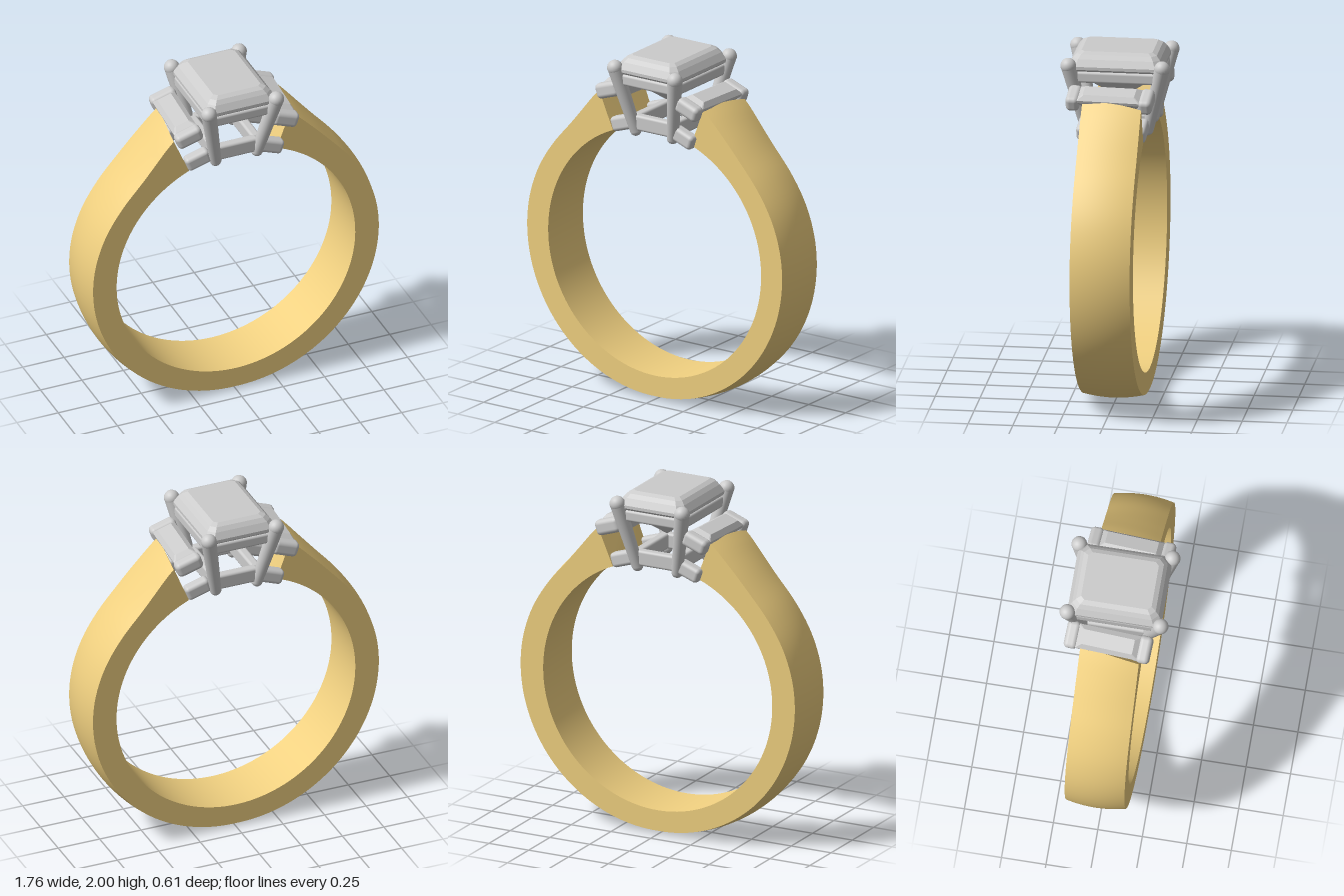
import * as THREE from 'three';
import { toCreasedNormals } from 'three/addons/utils/BufferGeometryUtils.js';
import { RoundedBoxGeometry } from 'three/addons/geometries/RoundedBoxGeometry.js';

const gold = new THREE.MeshStandardMaterial({ color: 0xf0d080 });
const silver = new THREE.MeshStandardMaterial({ color: 0xcccccc });
const gem = new THREE.MeshStandardMaterial({ color: 0xcccccc, flatShading: true });

function add(parent, name, geometry, material, x = 0, y = 0, z = 0) {
  const mesh = new THREE.Mesh(geometry, material);
  mesh.name = name;
  mesh.position.set(x, y, z);
  parent.add(mesh);
  return mesh;
}

// Skin a run of closed convex cross-sections and cap both ends
function loft(rings) {
  const n = rings[0].length, index = [];
  for (let i = 0; i < rings.length - 1; i++) {
    for (let j = 0; j < n; j++) {
      const a = i * n + j, b = i * n + (j + 1) % n;
      index.push(a, b, b + n, a, b + n, a + n);
    }
  }
  const last = (rings.length - 1) * n;
  for (let j = 1; j < n - 1; j++) {
    index.push(0, j + 1, j, last, last + j, last + j + 1);
  }
  const geometry = new THREE.BufferGeometry();
  geometry.setAttribute('position', new THREE.Float32BufferAttribute(rings.flat(2), 3));
  geometry.setIndex(index);
  geometry.computeVertexNormals();
  return geometry;
}

// Step-cut stone: each step is [y, half width, half depth, corner cut], bottom up
function stepCut(steps) {
  return loft(steps.map(([y, w, d, c]) => [
    [w, y, d - c], [w, y, c - d], [w - c, y, -d], [c - w, y, -d],
    [-w, y, c - d], [-w, y, d - c], [c - w, y, d], [w - c, y, d],
  ]));
}

// Domed band whose shoulders rise to meet the setting
function bandGeometry() {
  const half = 0.168, inner = 0.72, centreY = 0.86, steps = 128;
  // [degrees above horizontal, outer radius]
  const profile = new THREE.SplineCurve([
    [-90, 0.86], [-45, 0.872], [0, 0.882], [20, 0.88], [36, 0.874],
    [48, 0.88], [58.5, 0.915], [68.4, 0.975],
  ].map(([a, r]) => new THREE.Vector2(a, r))).getPoints(160);
  const outer = (elevation) => {
    const k = Math.max(1, profile.findIndex((p) => p.x >= elevation - 1e-6));
    const p = profile[k - 1], q = profile[k];
    return p.y + (q.y - p.y) * (elevation - p.x) / (q.x - p.x);
  };
  const rings = [];
  for (let i = 0; i <= steps; i++) {
    const degrees = 111.6 + 316.8 * i / steps;
    const rise = THREE.MathUtils.radToDeg(Math.asin(Math.sin(THREE.MathUtils.degToRad(degrees))));
    const r = outer(Math.min(rise, 68.4));
    const skew = 0.16 * THREE.MathUtils.smoothstep(rise, 45, 68);
    const section = [[inner, -half], [inner, half]];
    for (let k = 0; k <= 10; k++) {
      const t = 1 - k / 5;
      section.push([r - 0.02 * t * t, half * t]);
    }
    rings.push(section.map(([radius, z]) => {
      const a = THREE.MathUtils.degToRad(degrees) + skew * z;
      return [radius * Math.cos(a), centreY + radius * Math.sin(a), z];
    }));
  }
  return toCreasedNormals(loft(rings), 0.6);
}

// Rectangular gallery of four rounded rails
function gallery(parent, name, y, hx, hz, height, thick) {
  const group = new THREE.Group();
  group.name = name;
  parent.add(group);
  for (const s of [-1, 1]) {
    add(group, 'crossRail', new RoundedBoxGeometry(2 * hx, height, thick, 3, 0.015), silver, 0, y, s * hz);
    add(group, 'sideRail', new RoundedBoxGeometry(thick, height, 2 * hz, 3, 0.015), silver, s * hx, y, 0);
  }
}

// Round-tipped claw, slimmer at its foot
function prong(parent, foot, tip) {
  const length = foot.distanceTo(tip);
  const group = new THREE.Group();
  group.name = 'prong';
  group.position.copy(foot);
  group.quaternion.setFromUnitVectors(new THREE.Vector3(0, 1, 0), tip.clone().sub(foot).normalize());
  add(group, 'prongShaft', new THREE.CylinderGeometry(0.043, 0.033, length, 20), silver, 0, length / 2, 0);
  add(group, 'prongTip', new THREE.SphereGeometry(0.044, 20, 14), silver, 0, length, 0);
  add(group, 'prongFoot', new THREE.SphereGeometry(0.033, 20, 12), silver);
  parent.add(group);
}

// Tilted side stone held between rounded bars, with shorter bars beneath
function sideSetting() {
  const side = new THREE.Group();
  side.name = 'sideSetting';
  side.rotation.y = -0.06;
  const upper = new THREE.Group();
  upper.name = 'sideStoneMount';
  upper.position.set(0.283, 1.765, 0);
  upper.rotation.z = -0.33;
  side.add(upper);
  add(upper, 'sideStone', stepCut([
    [-0.07, 0.006, 0.09, 0.002], [-0.02, 0.045, 0.155, 0.004], [0.015, 0.068, 0.18, 0.006],
    [0.03, 0.068, 0.18, 0.006], [0.055, 0.042, 0.145, 0.004],
  ]), gem);
  for (const s of [-1, 1]) {
    add(upper, 'upperBar', new RoundedBoxGeometry(0.155, 0.088, 0.075, 4, 0.026), silver, 0, 0, s * 0.205);
    const lower = add(side, 'lowerBar', new RoundedBoxGeometry(0.145, 0.085, 0.07, 4, 0.022), silver, 0.215, 1.575, s * 0.16);
    lower.rotation.z = -0.33;
  }
  return side;
}

export function createModel() {
  const ring = new THREE.Group();
  ring.name = 'ring';
  add(ring, 'band', bandGeometry(), gold);

  // Centre stone, culet to table
  add(ring, 'centreStone', stepCut([
    [1.73, 0.004, 0.06, 0.001], [1.79, 0.072, 0.135, 0.012], [1.85, 0.14, 0.2, 0.025],
    [1.91, 0.212, 0.264, 0.04], [1.927, 0.212, 0.264, 0.04], [1.965, 0.188, 0.243, 0.034],
    [1.987, 0.168, 0.224, 0.028], [2, 0.142, 0.198, 0.02],
  ]), gem);

  // Head: two galleries and four flared prongs
  gallery(ring, 'upperGallery', 1.865, 0.185, 0.238, 0.065, 0.045);
  gallery(ring, 'lowerGallery', 1.605, 0.125, 0.168, 0.09, 0.055);
  for (const sx of [-1, 1]) {
    for (const sz of [-1, 1]) {
      prong(ring, new THREE.Vector3(sx * 0.125, 1.555, sz * 0.172), new THREE.Vector3(sx * 0.203, 1.93, sz * 0.262));
    }
  }

  // The two side settings face away from each other
  for (const turn of [0, Math.PI]) {
    const side = sideSetting();
    side.rotation.y += turn;
    ring.add(side);
  }
  return ring;
}
